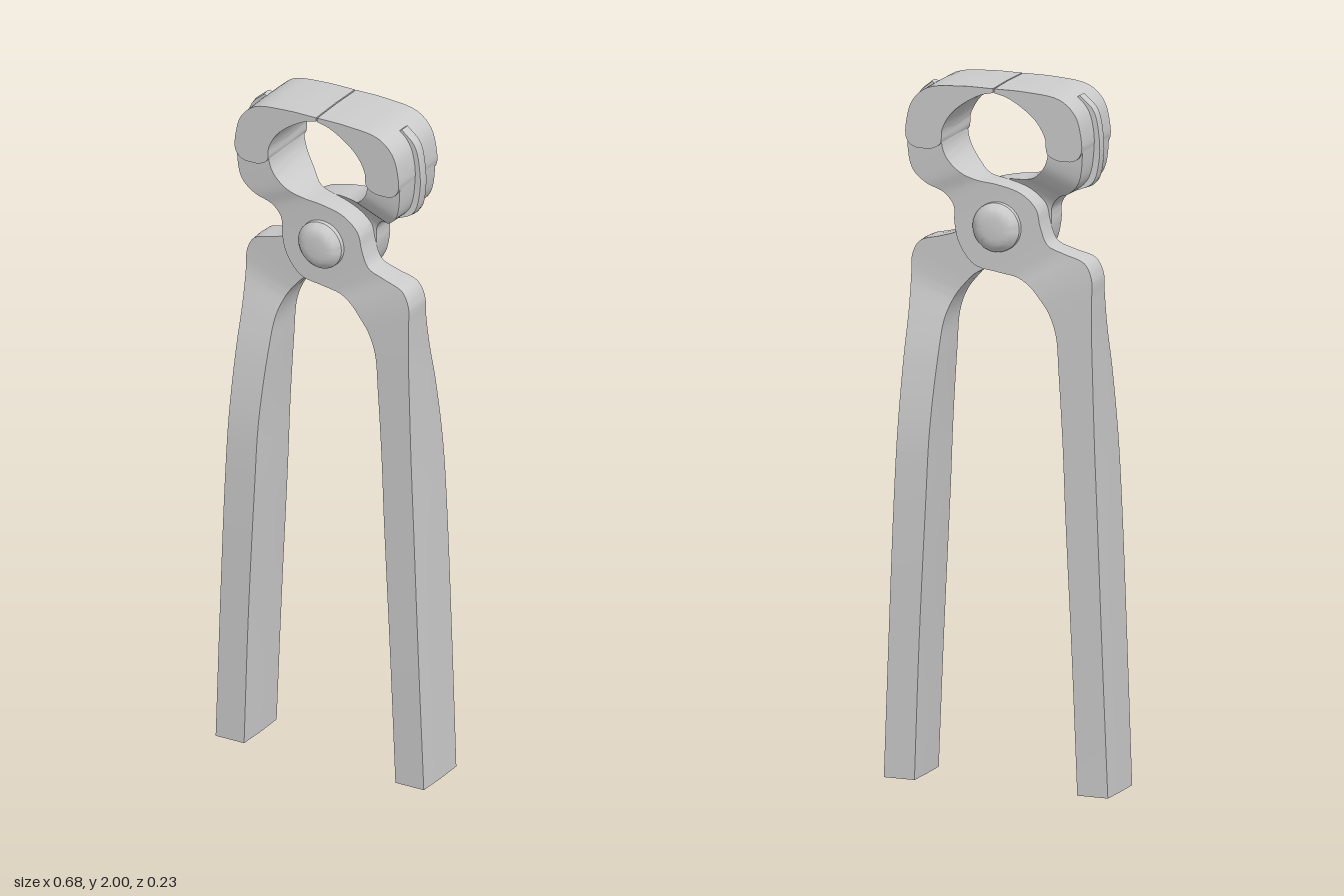
import * as THREE from 'three';
import { toCreasedNormals } from 'three/addons/utils/BufferGeometryUtils.js';

const material = new THREE.MeshStandardMaterial({ color: 0xcccccc });

function addMesh(parent, name, geometry) {
  const mesh = new THREE.Mesh(geometry, material);
  mesh.name = name;
  parent.add(mesh);
  return mesh;
}

// Solid ribbon through stations [ax, ay, bx, by, zBack, zFront]:
// edge A, edge B and the depth range, smoothed along the length.
// bulge pushes the middle of both narrow sides outward.
function ribbon(stations, bulge = 0, steps = 5) {
  const curveA = new THREE.CatmullRomCurve3(stations.map(s => new THREE.Vector3(s[0], s[1], s[4])));
  const curveB = new THREE.CatmullRomCurve3(stations.map(s => new THREE.Vector3(s[2], s[3], s[5])));
  const n = (stations.length - 1) * steps;
  const positions = [], index = [], sides = 6;
  for (let i = 0; i <= n; i++) {
    const a = curveA.getPoint(i / n), b = curveB.getPoint(i / n);
    const back = a.z, front = b.z, mid = (back + front) / 2;
    const len = Math.hypot(a.x - b.x, a.y - b.y) || 1;
    const dx = (a.x - b.x) / len * bulge, dy = (a.y - b.y) / len * bulge;
    positions.push(
      a.x, a.y, front, a.x + dx, a.y + dy, mid, a.x, a.y, back,
      b.x, b.y, back, b.x - dx, b.y - dy, mid, b.x, b.y, front);
  }
  for (let i = 0; i < n; i++) {
    for (let j = 0; j < sides; j++) {
      const p = i * sides + j, q = i * sides + (j + 1) % sides;
      index.push(p, q, q + sides, p, q + sides, p + sides);
    }
  }
  const end = n * sides;
  for (let j = 1; j < sides - 1; j++) {
    index.push(0, j + 1, j, end, end + j, end + j + 1);
  }
  const geometry = new THREE.BufferGeometry();
  geometry.setAttribute('position', new THREE.Float32BufferAttribute(positions, 3));
  geometry.setIndex(index);
  return toCreasedNormals(geometry, 0.6);
}

// Handle: full depth at the foot, thinning to half depth at the shoulder
const handle = [
  [0.337, 0.00, 0.245, 0.00, -0.088, 0.088],
  [0.322, 0.40, 0.230, 0.40, -0.090, 0.092],
  [0.307, 0.80, 0.211, 0.80, -0.088, 0.093],
  [0.299, 1.00, 0.203, 1.00, -0.080, 0.093],
  [0.293, 1.20, 0.191, 1.20, -0.050, 0.093],
  [0.290, 1.32, 0.182, 1.31, -0.022, 0.093],
  [0.290, 1.42, 0.160, 1.37, -0.003, 0.092],
  [0.288, 1.48, 0.130, 1.41, 0, 0.090],
  [0.265, 1.52, 0.100, 1.44, 0, 0.085],
];
// Half-depth lap that crosses over the pivot
const lap = [
  [0.200, 1.540, 0.060, 1.460, 0, 0.077],
  [0.150, 1.560, 0.000, 1.470, 0, 0.075],
  [0.128, 1.610, -0.070, 1.485, 0, 0.075],
  [0.115, 1.660, -0.115, 1.540, 0, 0.075],
  [0.070, 1.700, -0.130, 1.600, 0, 0.075],
  [0.000, 1.720, -0.132, 1.650, 0, 0.077],
];
// Neck widening back to full depth
const neck = [
  [-0.060, 1.728, -0.160, 1.685, -0.020, 0.080],
  [-0.110, 1.750, -0.210, 1.710, -0.065, 0.090],
  [-0.148, 1.790, -0.250, 1.750, -0.090, 0.094],
];
// Curved jaw tapering to the cutting edge: [ax, ay, bx, by]
const jaw = [
  [-0.160, 1.830, -0.264, 1.840],
  [-0.155, 1.870, -0.262, 1.890],
  [-0.130, 1.915, -0.245, 1.945],
  [-0.090, 1.950, -0.200, 1.985],
  [-0.040, 1.978, -0.100, 1.999],
  [-0.002, 1.988, -0.002, 2.000],
];
// Raised cheek with a rounded lower end
const cheek = [
  [-0.195, 1.811, -0.230, 1.811],
  [-0.178, 1.816, -0.250, 1.819],
  ...jaw,
];
// Raised rib along the outer side of the jaw
const rib = [
  [-0.180, 1.720, -0.205, 1.708, -0.030, 0.030],
  [-0.225, 1.760, -0.262, 1.735, -0.022, 0.022],
  [-0.240, 1.820, -0.281, 1.800, -0.017, 0.017],
  [-0.240, 1.870, -0.280, 1.875, -0.016, 0.016],
  [-0.225, 1.920, -0.264, 1.942, -0.016, 0.016],
  [-0.190, 1.960, -0.222, 1.982, -0.016, 0.016],
];

function createHalf(name) {
  const half = new THREE.Group();
  half.name = name;
  const body = [...handle, ...lap, ...neck, ...jaw.map(s => [...s, -0.096, 0.096])];
  addMesh(half, 'handleAndJaw', ribbon(body, 0.002));
  addMesh(half, 'jawCheek', ribbon(cheek.map(s => [...s, -0.105, 0.105]), 0.001));
  addMesh(half, 'jawRib', ribbon(rib, 0.003));
  return half;
}

export function createModel() {
  const model = new THREE.Group();
  model.name = 'pincers';

  // Two identical halves, turned half a circle about the upright axis
  const front = createHalf('frontHalf');
  const back = createHalf('backHalf');
  back.rotation.y = Math.PI;
  model.add(front, back);

  // Rivet with chamfered, gently domed heads
  const head = [[0, 0.113], [0.03, 0.1125], [0.046, 0.110], [0.056, 0.104], [0.070, 0.088], [0.071, 0.070]];
  const profile = [
    ...head.map(([r, h]) => new THREE.Vector2(r, -h)),
    ...head.slice().reverse().map(([r, h]) => new THREE.Vector2(r, h)),
  ];
  const rivet = addMesh(model, 'pivotRivet', toCreasedNormals(new THREE.LatheGeometry(profile, 48), 0.5));
  rivet.rotation.x = Math.PI / 2;
  rivet.position.y = 1.6;

  return model;
}
